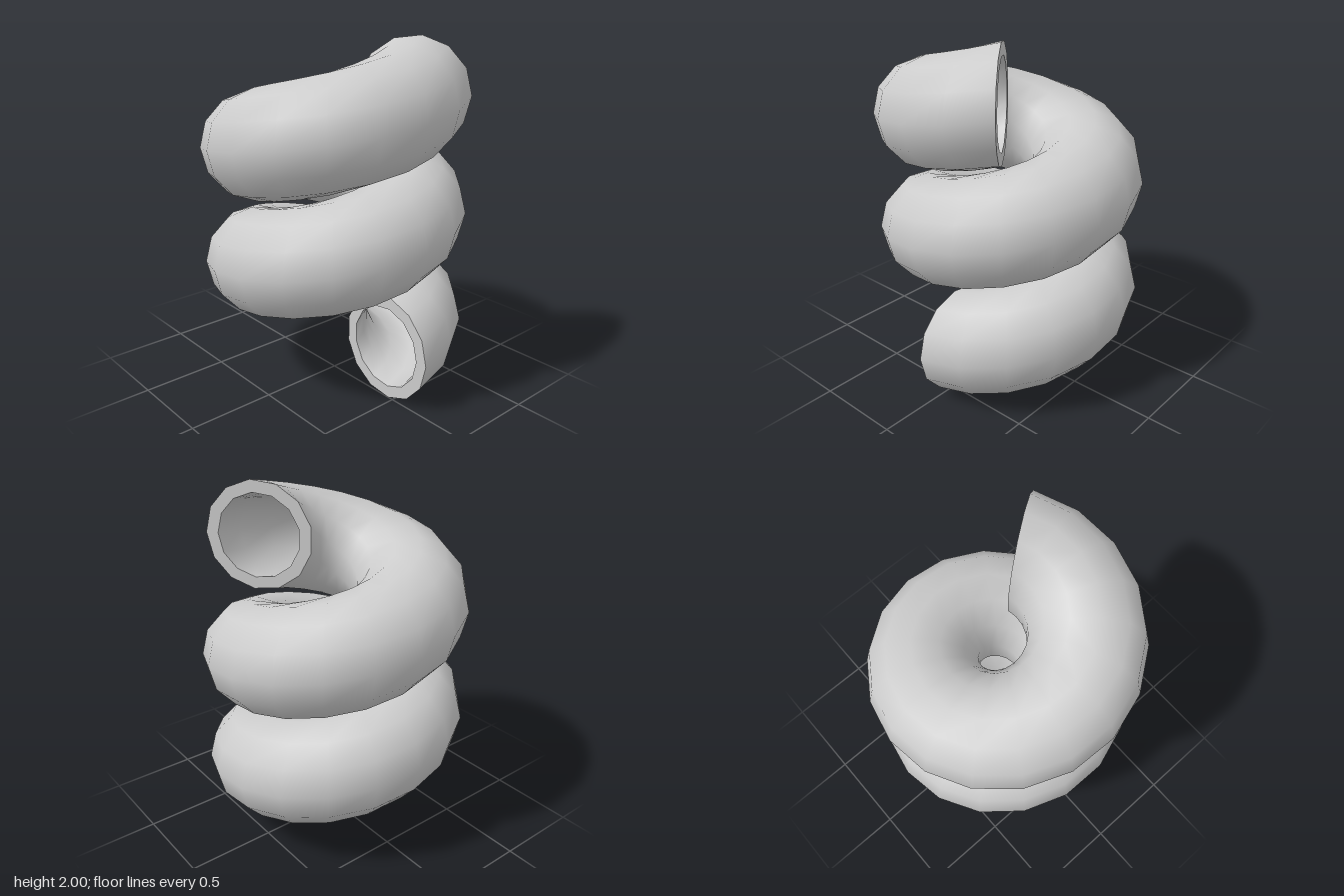
import * as THREE from 'three';
import { ParametricGeometry } from 'three/addons/geometries/ParametricGeometry.js';

const COIL = 0.43, OUTER = 0.31, INNER = 0.24;   // coil radius, pipe radii
const SIDES = 13, STEPS = 38;
const SWEEP = 2.1 * Math.PI * 2;                 // total turn of the helix
const Y0 = 0.308, Y1 = 1.692;                    // centre heights of the two ends

// Pipe wall: an upright circular section swept along a rising helix
function wall(radius, direction) {
  return new ParametricGeometry((u, v, p) => {
    const t = direction * u * Math.PI * 2, a = v * SWEEP;
    const d = COIL + radius * Math.cos(t);
    p.set(d * Math.cos(a), Y0 + (Y1 - Y0) * v + radius * Math.sin(t), -d * Math.sin(a));
  }, SIDES, STEPS);
}

// Flat ring closing the wall thickness
function rim(thetaStart) {
  return new THREE.RingGeometry(INNER, OUTER, SIDES, 1, thetaStart);
}

export function createModel() {
  const group = new THREE.Group();
  group.name = 'coiledPipe';
  const material = new THREE.MeshStandardMaterial({ color: 0xcccccc });
  const add = (name, geometry) => {
    const mesh = new THREE.Mesh(geometry, material);
    mesh.name = name;
    group.add(mesh);
  };

  add('outerWall', wall(OUTER, -1));
  add('innerWall', wall(INNER, 1));
  add('lowerRim', rim(0).translate(COIL, Y0, 0));
  add('upperRim', rim(Math.PI).rotateY(Math.PI).translate(COIL, Y1, 0).rotateY(SWEEP));
  return group;
}
